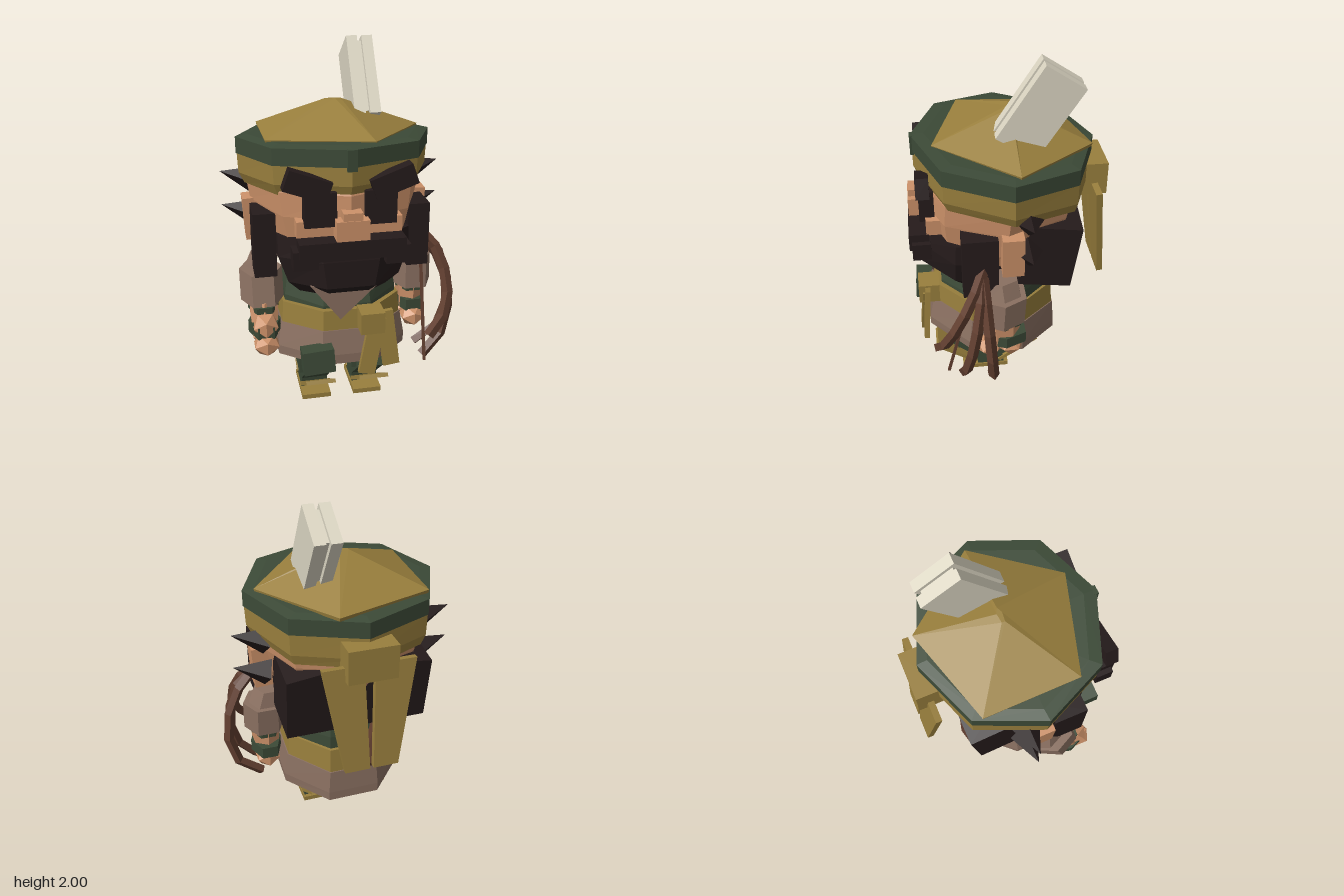
import * as THREE from 'three';

const mat = (name, color) => Object.assign(new THREE.MeshStandardMaterial({ color }), { name });

// Faceted solid from rings [y, rx, rz, cx, cz] listed bottom to top; tilt shears y along z
function loft(rings, sides = 8, phase = 0, tilt = 0) {
  const pos = [];
  const point = ([y, rx, rz, cx = 0, cz = 0], i) => {
    const a = phase + (i * Math.PI * 2) / sides;
    const z = cz + rz * Math.cos(a);
    return [cx + rx * Math.sin(a), y + tilt * z, z];
  };
  const center = ([y, , , cx = 0, cz = 0]) => [cx, y + tilt * cz, cz];
  const tri = (a, b, c) => pos.push(...a, ...b, ...c);
  const last = rings[rings.length - 1];
  for (let i = 0; i < sides; i++) {
    for (let r = 0; r < rings.length - 1; r++) {
      const lo = rings[r], hi = rings[r + 1];
      tri(point(lo, i), point(lo, i + 1), point(hi, i + 1));
      tri(point(lo, i), point(hi, i + 1), point(hi, i));
    }
    tri(center(rings[0]), point(rings[0], i + 1), point(rings[0], i));
    tri(center(last), point(last, i), point(last, i + 1));
  }
  const g = new THREE.BufferGeometry();
  g.setAttribute('position', new THREE.Float32BufferAttribute(pos, 3));
  g.computeVertexNormals();
  return g;
}

// Polygon extruded symmetrically about z = 0
function prism(points, depth) {
  const shape = new THREE.Shape(points.map(([x, y]) => new THREE.Vector2(x, y)));
  return new THREE.ExtrudeGeometry(shape, { depth, bevelEnabled: false }).translate(0, 0, -depth / 2);
}

export function createModel() {
  const root = new THREE.Group();
  root.name = 'bandit';
  const skin = mat('skin', 0xcc9169);
  const hair = mat('darkHair', 0x251b1b);
  const green = mat('greenCloth', 0x3c4a37);
  const gold = mat('ochreCloth', 0x997f3d);
  const tunic = mat('tunic', 0x8a7061);
  const leather = mat('leather', 0x623f30);
  const bone = mat('pale', 0xdcd6c3);
  [skin, hair, green, gold, tunic, leather, bone].forEach((m) => { m.flatShading = true; });

  const add = (name, geo, m, p = [0, 0, 0], r = [0, 0, 0]) => {
    const mesh = new THREE.Mesh(geo, m);
    mesh.name = name;
    mesh.position.set(...p);
    mesh.rotation.set(...r);
    root.add(mesh);
  };
  const box = (name, size, m, p, r) => add(name, new THREE.BoxGeometry(...size), m, p, r);
  const C = -0.025; // centre line
  const E = Math.PI / 8;

  // Head and hat
  add('head', loft([[0.8, 0.3, 0.28, C, 0.08], [1.0, 0.42, 0.41, C, 0.06], [1.17, 0.47, 0.455, C, 0.04],
    [1.3, 0.49, 0.46, C, 0.03], [1.42, 0.44, 0.42, C, 0.02]]), skin);
  add('hatBand', loft([[1.25, 0.495, 0.47, C, 0.01], [1.31, 0.525, 0.49, C, 0.015], [1.43, 0.53, 0.49, C, 0.015]], 8, 0, 0.09), gold);
  add('hatBrim', loft([[1.42, 0.535, 0.495, C, 0.017], [1.51, 0.535, 0.495, C, 0.017], [1.52, 0.47, 0.43, C, 0.01]], 8, 0, 0.066), green);
  box('brimSeam', [0.05, 0.11, 0.03], green, [C, 1.49, 0.5]);
  add('hatCrown', loft([[1.51, 0.48, 0.44, -0.03, -0.02], [1.53, 0.485, 0.445, -0.03, -0.02],
    [1.69, 0.045, 0.015, -0.025, -0.02]], 5, Math.PI / 2, 0.05), gold);

  // Pale slatted slab stuck in the hat
  for (const [x, w, h, d] of [[0.11, 0.06, 0.45, 0.248], [0.152, 0.03, 0.41, 0.2], [0.195, 0.06, 0.45, 0.248]])
    box('hatSlab', [w, h, d], bone, [x, 1.743, -0.145], [-0.58, 0, 0]);

  // Knot with two hanging tails converging downwards at the back
  box('hatKnot', [0.27, 0.19, 0.15], gold, [C, 1.275, -0.47]);
  for (const s of [-1, 1]) {
    const corners = [[0.01, -0.61], [0.15, -0.61], [0.255, 0], [0.03, 0]].map(([x, y]) => [s * x, y]);
    add('knotTail', prism(corners, 0.035), gold, [C, 1.25, -0.475], [0.11, 0, 0]);
  }

  // Facial features
  box('nose', [0.17, 0.13, 0.12], skin, [C, 1.125, 0.49]);
  box('noseBridge', [0.1, 0.18, 0.12], skin, [C, 1.14, 0.485]);
  box('moustache', [0.55, 0.1, 0.11], hair, [C, 1.035, 0.5]);
  for (const s of [-1, 1]) {
    box('moustacheEnd', [0.13, 0.1, 0.1], hair, [C + s * 0.24, 0.99, 0.49]);
    box('eye', [0.165, 0.18, 0.08], hair, [C + s * 0.155, 1.235, 0.45]);
    box('brow', [0.23, 0.11, 0.07], hair, [C + s * 0.22, 1.365, 0.465], [0, 0, s * 0.35]);
    box('cheek', [0.19, 0.09, 0.08], skin, [C + s * 0.18, 1.125, 0.42]);
    box('sideburn', [0.12, 0.36, 0.19], hair, [C + s * 0.42, 0.98, 0.19]);
    box('ear', [0.1, 0.24, 0.115], skin, [C + s * 0.46, 1.06, 0.02], [0, 0, -s * 0.06]);
    // Hair spikes behind the ears
    for (const y of [1.27, 1.075]) {
      const spike = new THREE.ConeGeometry(0.08, 0.2, 4);
      add('hairSpike', spike, hair, [C + s * 0.53, y, -0.065], [0, 0, -s * (Math.PI / 2 - 0.3)]);
    }
  }
  add('beard', loft([[0.66, 0.26, 0.24, C, 0.19], [0.73, 0.33, 0.34, C, 0.19], [0.88, 0.385, 0.36, C, 0.18],
    [1.0, 0.385, 0.34, C, 0.18]], 8, E, 0.15), hair);
  const backHair = [[-0.4, -0.19], [0.4, -0.19], [0.405, 0.19], [0.2, 0.22], [-0.2, 0.22], [-0.405, 0.19]];
  add('backHair', prism(backHair, 0.295), hair, [C, 0.965, -0.19], [-0.14, 0, 0]);

  // Torso, sash and skirt
  add('shirt', loft([[0.48, 0.34, 0.34, C, 0.08], [0.65, 0.34, 0.34, C, 0.08], [0.82, 0.31, 0.3, C, 0.07]], 8, E), green);
  add('collar', prism([[-0.23, 0.8], [0.15, 0.8], [-0.07, 0.59]], 0.12), tunic, [0, 0, 0.385]);
  add('sash', loft([[0.44, 0.365, 0.38, C, 0.09], [0.595, 0.355, 0.37, C, 0.09]], 8, E, 0.1), gold);
  add('skirt', loft([[0.265, 0.39, 0.405, C, 0.1], [0.32, 0.395, 0.405, C, 0.1], [0.46, 0.37, 0.385, C, 0.09]],
    8, E, 0.146), tunic);

  // Sash bow and pouch on the front
  box('sashKnot', [0.13, 0.12, 0.12], gold, [0.09, 0.59, 0.47]);
  box('sashTail', [0.09, 0.33, 0.03], gold, [0.09, 0.45, 0.505], [-0.08, 0, -0.2]);
  box('sashTail', [0.09, 0.32, 0.03], gold, [0.18, 0.48, 0.49], [-0.08, 0, 0.12]);
  box('pouch', [0.17, 0.13, 0.1], green, [-0.205, 0.395, 0.5], [-0.1, 0, 0.06]);

  // Arms: [x, inward direction, forward shift of the forearm]
  for (const [x, inward, dz] of [[-0.46, 1, 0.17], [0.42, -1, 0.0]]) {
    add('sleeve', loft([[0.61, 0.12, 0.14, x, 0.08 + dz * 0.4], [0.78, 0.12, 0.14, x, 0.07 + dz * 0.2]], 6, Math.PI / 6), tunic);
    add('shoulder', loft([[0.77, 0.09, 0.11, x, 0.07], [0.87, 0.08, 0.1, x + inward * 0.03, 0.08]], 6, Math.PI / 6), tunic);
    add('forearm', loft([[0.45, 0.08, 0.09, x, 0.07 + dz], [0.63, 0.09, 0.1, x, 0.07 + dz * 0.6]], 6), skin);
    add('cuff', loft([[0.45, 0.09, 0.13, x, 0.06 + dz], [0.52, 0.09, 0.13, x, 0.06 + dz]], 6, Math.PI / 6), green);
    add('cuff', loft([[0.575, 0.085, 0.11, x, 0.07 + dz * 0.7], [0.61, 0.085, 0.11, x, 0.07 + dz * 0.7]], 6, Math.PI / 6), green);
    for (const z of [0.03, 0.15])
      add('fist', new THREE.IcosahedronGeometry(0.078, 0).scale(1, 0.85, 1), skin, [x, 0.41, z + dz]);
  }
  add('thumb', new THREE.IcosahedronGeometry(0.078, 0), skin, [-0.46, 0.51, 0.29]);

  // Legs with splayed boot flaps and soles
  for (const x of [C - 0.155, C + 0.145]) {
    const leg = prism([[0.36, 0.22], [0.21, 0.09], [0.2, 0.02], [0.04, 0.02], [0.05, 0.09], [-0.1, 0.19],
      [-0.08, 0.27], [0.33, 0.31]], 0.15);
    add('leg', leg, green, [x, 0, 0], [0, -Math.PI / 2, 0]);
    box('legCuff', [0.2, 0.09, 0.34], green, [x, 0.245, 0.15]);
    box('sole', [0.165, 0.028, 0.275], gold, [x, 0.014, 0.155]);
    box('frontFlap', [0.165, 0.022, 0.28], gold, [x, 0.132, 0.328], [-0.58, 0, 0]);
    box('backFlap', [0.165, 0.022, 0.28], gold, [x, 0.128, -0.043], [0.6, 0, 0]);
  }

  // Leather coils hanging at the left side
  const coils = [
    [[0.43, 0.97, 0.17], [0.52, 0.87, 0.23], [0.56, 0.72, 0.31], [0.54, 0.56, 0.39], [0.43, 0.43, 0.44]],
    [[0.43, 0.95, 0.18], [0.55, 0.82, 0.2], [0.6, 0.55, 0.25], [0.55, 0.35, 0.29], [0.44, 0.23, 0.305]],
    [[0.43, 0.95, 0.18], [0.57, 0.77, 0.17], [0.63, 0.52, 0.155], [0.57, 0.31, 0.14], [0.44, 0.22, 0.135]],
  ];
  for (const pts of coils) {
    const path = new THREE.CatmullRomCurve3(pts.map((p) => new THREE.Vector3(...p)));
    add('coil', new THREE.TubeGeometry(path, 5, 0.03, 4), leather);
  }
  box('coilCord', [0.015, 0.7, 0.015], leather, [0.43, 0.58, 0.3], [-0.25, 0, 0]);

  // Scabbard below the back hair
  add('scabbard', loft([[0.46, 0.07, 0.04, -0.17, -0.3], [0.49, 0.12, 0.05, -0.175, -0.3], [0.8, 0.11, 0.05, -0.24, -0.27]], 6), leather);

  return root;
}
